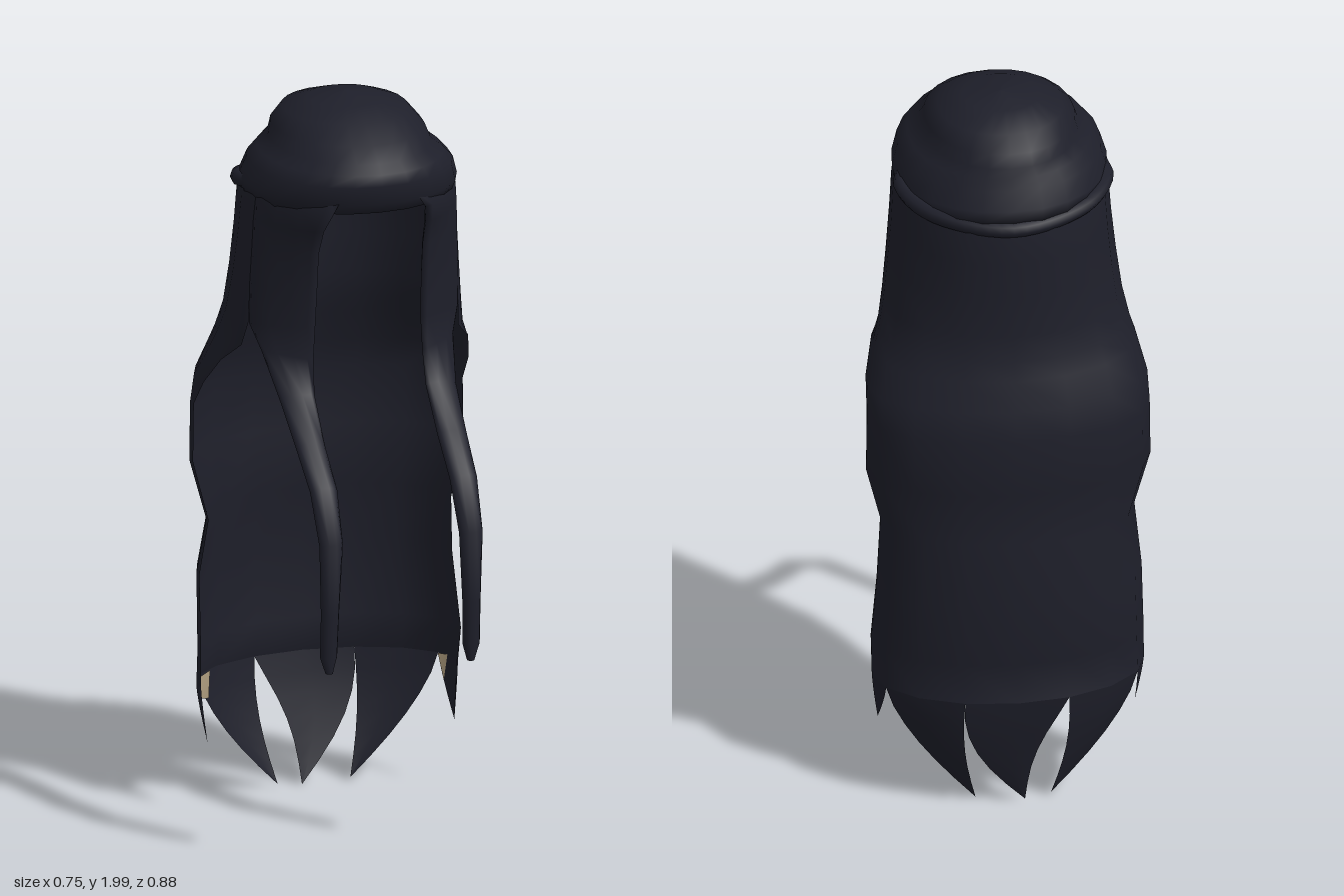
import * as THREE from 'three';

const hair = new THREE.MeshStandardMaterial({ color: 0x1e1f2a, side: THREE.DoubleSide });
hair.name = 'dark navy hair';
const lining = new THREE.MeshStandardMaterial({ color: 0xa89779 });
lining.name = 'beige lining';

const V = (x, y, z) => new THREE.Vector3(x, y, z);

// Skin a list of cross-sections; closed joins the ends of each section
function loft(name, rows, closed = false, material = hair) {
  const n = rows[0].length, pos = [], index = [];
  rows.forEach(r => r.forEach(p => pos.push(p.x, p.y, p.z)));
  for (let i = 0; i < rows.length - 1; i++) {
    for (let j = 0; j < (closed ? n : n - 1); j++) {
      const k = (j + 1) % n;
      const a = i * n + j, b = i * n + k, c = a + n, d = b + n;
      index.push(a, c, b, b, c, d);
    }
  }
  const g = new THREE.BufferGeometry();
  g.setAttribute('position', new THREE.Float32BufferAttribute(pos, 3));
  g.setIndex(index);
  g.computeVertexNormals();
  const mesh = new THREE.Mesh(g, material);
  mesh.name = name;
  return mesh;
}

// Horseshoe section: u = 0 at the back, +-1 at the widest point, +-2 at the front edge
function horseshoe([y, w, zBack, zWide, xFront, zFront], u) {
  const s = Math.sign(u), t = Math.abs(u);
  const a = (t > 1 ? t - 1 : t) * Math.PI / 2;
  if (t <= 1) return V(s * w * Math.sin(a), y, zWide + (zBack - zWide) * Math.cos(a));
  return V(s * (xFront + (w - xFront) * Math.cos(a)), y, zWide + (zFront - zWide) * Math.sin(a));
}
// Four facets per quarter
function section(row, u0, u1) {
  const n = Math.round(Math.abs(u1 - u0) * 4);
  return Array.from({ length: n + 1 }, (_, i) => horseshoe(row, u0 + (u1 - u0) * i / n));
}

// y, half width, back z, z of widest point, front edge x, front edge z
const CURTAIN = [
  [1.79, .27, -.32, -.06, .262, .03],
  [1.74, .284, -.336, -.06, .274, .03],
  [1.63, .291, -.34, -.07, .281, .025],
  [1.52, .302, -.34, -.08, .286, .02],
  [1.41, .316, -.342, -.1, .289, .015],
  [1.34, .332, -.352, -.13, .298, -.015],
  [1.29, .348, -.368, -.15, .34, -.06],
  [1.21, .37, -.39, -.2, .365, -.13],
  [1.13, .374, -.41, -.22, .37, -.2],
  [.97, .376, -.412, -.22, .372, -.2],
  [.81, .336, -.39, -.2, .334, -.185],
  [.65, .35, -.44, -.24, .348, -.22],
  [.45, .36, -.395, -.2, .358, -.175],
  [.35, .36, -.42, -.21, .352, -.195],
];

// Pointed clump hanging from the hem between u0 and u1
function clump(name, u0, u1, tip, bend = 0) {
  const base = section(CURTAIN[CURTAIN.length - 1], u0, u1), rows = [];
  for (let i = 0; i <= 6; i++) {
    const s = i / 6, f = Math.pow(s, 1.25);
    rows.push(base.map(p => V(
      p.x + (tip.x - p.x) * f + bend * Math.sin(Math.PI * s),
      p.y + (tip.y - p.y) * s,
      p.z + (tip.z - p.z) * f)));
  }
  return loft(name, rows);
}

// Crown rings: y, half width, front z, back z
const CROWN = [
  [2.0, 0, -.06, -.06],
  [1.987, .1, .05, -.15],
  [1.96, .165, .12, -.23],
  [1.92, .198, .19, -.265],
  [1.885, .208, .24, -.28],
  [1.86, .24, .26, -.29],
  [1.83, .268, .266, -.302],
  [1.78, .284, .258, -.325],
  [1.75, .28, .235, -.333],
  [1.73, .2, .16, -.26],
  [1.695, .1, .02, -.2],
  [1.695, 0, -.08, -.08],
];
function crownRing([y, w, zf, zb]) {
  const c = (zf + zb) / 2, d = (zf - zb) / 2;
  const pw = v => Math.sign(v) * Math.pow(Math.abs(v), .94);
  return Array.from({ length: 24 }, (_, i) => {
    const a = i / 24 * Math.PI * 2;
    return V(w * pw(Math.sin(a)), y, c + d * pw(Math.cos(a)));
  });
}

// Temple panel running down into a face-framing lock:
// outer x, y, z, inner x, y, z, half thickness
const LOCK = [
  [.262, 1.8, .03, .1, 1.8, .235, .016],
  [.274, 1.755, .03, .128, 1.755, .24, .018],
  [.279, 1.7, .027, .14, 1.7, .2, .018],
  [.282, 1.63, .025, .143, 1.63, .165, .018],
  [.287, 1.52, .02, .143, 1.52, .15, .018],
  [.288, 1.41, .018, .145, 1.42, .14, .016],
  [.264, 1.34, .05, .15, 1.33, .14, .014],
  [.243, 1.23, .14, .153, 1.24, .16, .016],
  [.235, 1.13, .255, .155, 1.13, .255, .018],
  [.23, 1.04, .36, .155, 1.04, .36, .019],
  [.225, .91, .425, .16, .91, .425, .019],
  [.22, .72, .422, .17, .72, .422, .018],
  [.22, .6, .415, .173, .6, .415, .016],
  [.205, .555, .415, .185, .555, .415, .01],
];
function lock(name, side) {
  const outer = LOCK.map(r => V(r[0] * side, r[1], r[2]));
  const inner = LOCK.map(r => V(r[3] * side, r[4], r[5]));
  const mid = outer.map((o, i) => o.clone().add(inner[i]).multiplyScalar(.5));
  const rows = mid.map((m, i) => {
    const tangent = mid[Math.min(i + 1, mid.length - 1)].clone().sub(mid[Math.max(i - 1, 0)]);
    const u = outer[i].clone().sub(m);
    const v = tangent.cross(u).normalize().multiplyScalar(LOCK[i][6]);
    return Array.from({ length: 10 }, (_, j) => {
      const a = j / 10 * Math.PI * 2;
      return m.clone().addScaledVector(u, Math.cos(a)).addScaledVector(v, Math.sin(a));
    });
  });
  return loft(name, rows, true);
}

export function createModel() {
  const model = new THREE.Group();
  model.name = 'longHair';

  // Crown and the long curtain
  model.add(loft('crown', CROWN.map(crownRing), true));
  model.add(loft('curtain', CURTAIN.map(r => section(r, -2, 2))));

  // Rolled band round the back, sinking into the sides
  const path = new THREE.CatmullRomCurve3([
    V(-.255, 1.775, -.06), V(-.268, 1.765, -.13), V(-.2, 1.745, -.245), V(0, 1.73, -.325),
    V(.2, 1.745, -.245), V(.268, 1.765, -.13), V(.255, 1.775, -.06),
  ]);
  const band = new THREE.Mesh(new THREE.TubeGeometry(path, 28, .023, 8), hair);
  band.name = 'rolledBand';
  model.add(band);

  // Hem clumps, locks and lining, mirrored
  model.add(clump('backClump', -.25, .25, V(-.03, .01, -.33), .035));
  for (const side of [1, -1]) {
    const word = side > 0 ? 'left' : 'right';
    model.add(clump(word + 'BackClump', side * .25, side * .75, V(side * .1, .02, -.32), side * .012));
    model.add(clump(word + 'SideClump', side * .75, side * 2, V(side * .34, .2, -.175)));
    model.add(lock(word + 'FrontLock', side));
    // Lining shows only from inside the hem
    const inX = side > 0 ? .325 : .29, inZ = side > 0 ? -.27 : -.31;
    const strip = [
      [V(side * .345, .355, -.25), V(side * inX, .355, inZ)],
      [V(side * .335, .3, -.245), V(side * (inX + .01), .285, inZ + .02)],
    ];
    if (side > 0) strip.forEach(r => r.reverse());
    model.add(loft(word + 'Lining', strip, false, lining));
  }
  return model;
}
